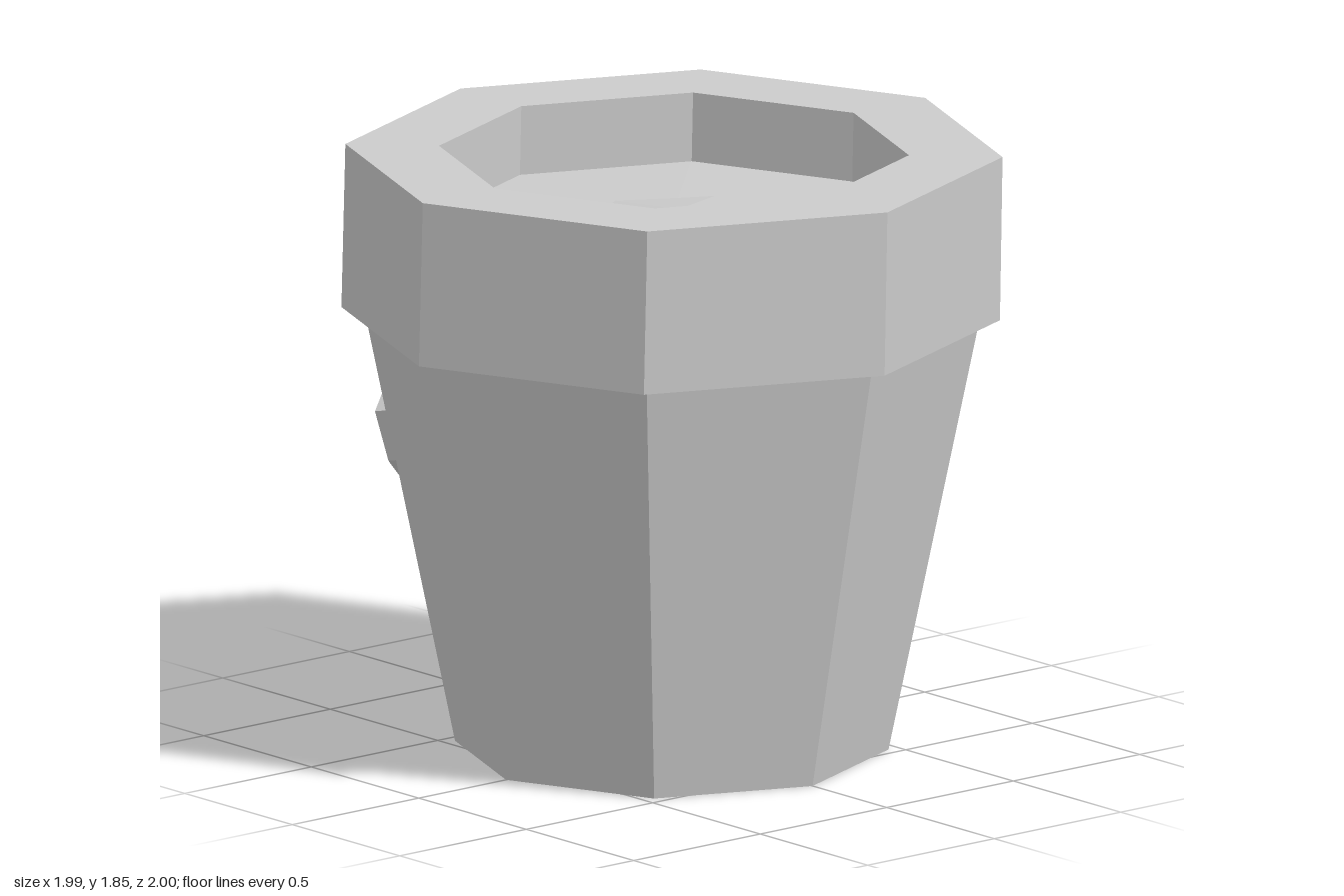
import * as THREE from 'three';

const SIDES = 8;
const material = new THREE.MeshStandardMaterial({ color: 0xcccccc, flatShading: true });

function addPart(parent, name, geometry) {
  const mesh = new THREE.Mesh(geometry, material);
  mesh.name = name;
  parent.add(mesh);
  return mesh;
}

// Octagonal ring or shell from a profile of [radius, height] pairs
function octagonLathe(profile) {
  return new THREE.LatheGeometry(profile.map(([r, y]) => new THREE.Vector2(r, y)), SIDES);
}

export function createModel() {
  const pot = new THREE.Group();
  pot.name = 'flowerPot';

  // Tapered body with a closed base
  addPart(pot, 'body', octagonLathe([[0, 0], [0.655, 0], [0.93, 1.34]]));

  // Thick collar, leaning very slightly towards the front
  const rim = octagonLathe([[0.9, 1.34], [0.995, 1.34], [0.993, 1.85], [0.71, 1.85], [0.71, 1.6]]);
  const p = rim.attributes.position;
  for (let i = 0; i < p.count; i++) {
    p.setZ(i, p.getZ(i) - 0.005 + (p.getY(i) - 1.34) * 0.03);
  }
  rim.computeVertexNormals();
  addPart(pot, 'rim', rim);

  // Soil sunk below the rim, with a low six-sided mound
  addPart(pot, 'soil', octagonLathe([[0.73, 1.635], [0, 1.645]]));
  const mound = addPart(pot, 'soilMound', new THREE.ConeGeometry(0.36, 0.04, 6, 1, true));
  mound.position.set(0, 1.655, 0.04);

  // Raised heart lying on the sloped panel at the back right
  const half = [[0.15, 0.095], [0.29, 0], [0.26, -0.16]];
  const outline = [
    [0, 0], ...half, [0, -0.45],
    ...half.map(([x, y]) => [-x, y]).reverse(),
  ].map(([x, y]) => new THREE.Vector2(x, y));
  const heart = addPart(pot, 'heart', new THREE.ExtrudeGeometry(new THREE.Shape(outline), {
    depth: 0.09, bevelEnabled: false,
  }).translate(0, 0, -0.03));
  const angle = Math.PI + Math.PI / SIDES;
  heart.rotation.set(0.19, angle, 0, 'YXZ');
  heart.position.set(Math.sin(angle) * 0.797, 1.015, Math.cos(angle) * 0.797);

  return pot;
}
